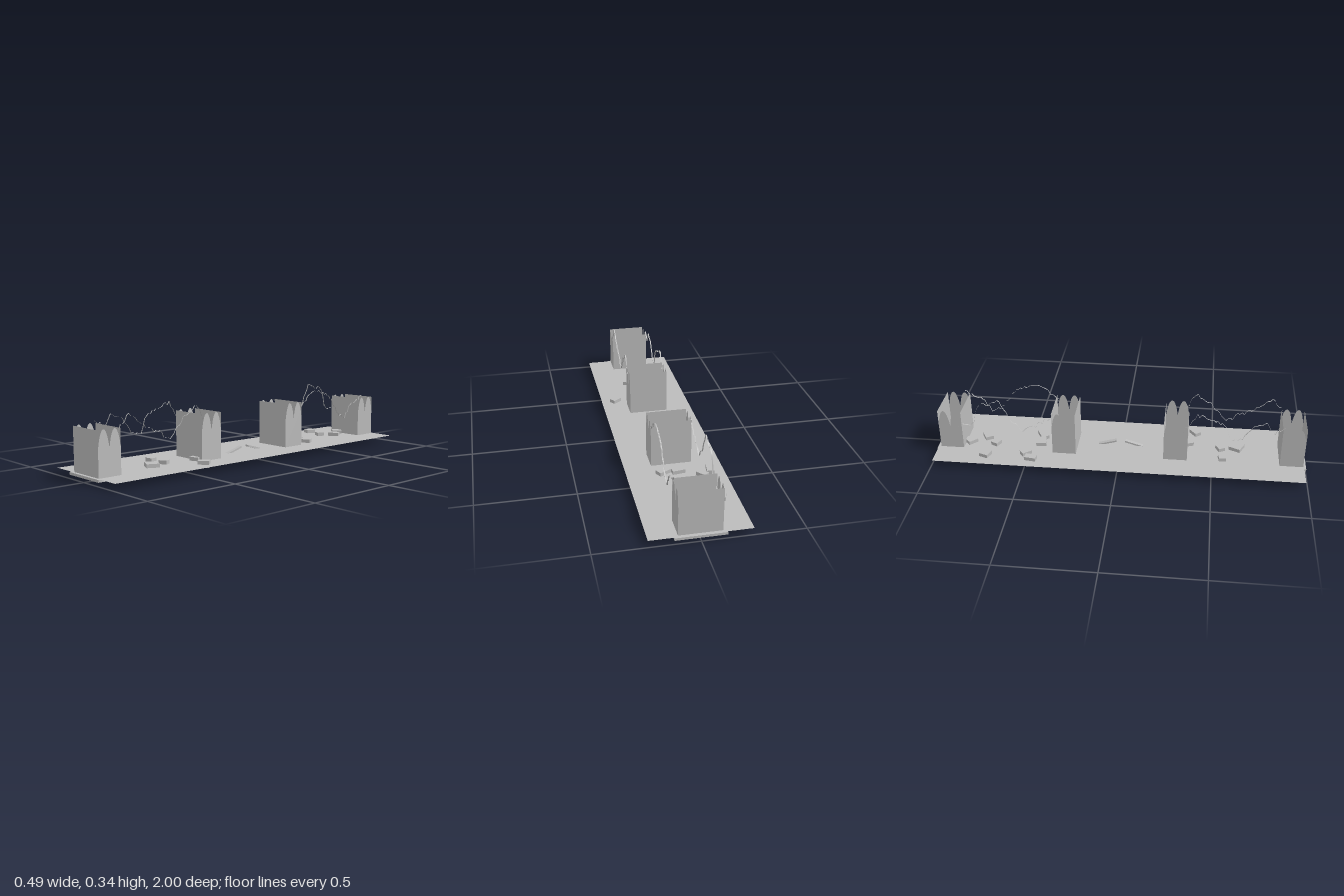
import * as THREE from 'three';

export function createModel() {
  const model = new THREE.Group();
  const stone = new THREE.MeshStandardMaterial({ color: 0xbbbbbb, side: THREE.DoubleSide });
  stone.name = 'stone grey';
  const FLOOR = 0.033, HALF = 0.105;

  const add = (geometry, name, x = 0, y = 0, z = 0, parent = model) => {
    const mesh = new THREE.Mesh(geometry, stone);
    mesh.name = name;
    mesh.position.set(x, y, z);
    parent.add(mesh);
    return mesh;
  };

  // Small seeded generator for broken edges
  let seed = 7;
  const rand = () => (seed = (seed * 16807) % 2147483647) / 2147483647;

  // Ground sheet and the deck slab beneath it
  add(new THREE.PlaneGeometry(0.494, 1.985), 'groundSheet', -0.002, FLOOR + 0.0005, -0.002).rotation.x = -Math.PI / 2;
  add(new THREE.BoxGeometry(0.248, 0.013, 2), 'deckSlab', 0, 0.0265, 0);

  // Side sheet with two rounded peaks
  function peakedSheet(width, peak) {
    const w = width / 2, dip = peak - 0.09, c = peak + 0.03;
    const s = new THREE.Shape();
    s.moveTo(-w, FLOOR);
    s.lineTo(-w, dip);
    s.bezierCurveTo(-w * 0.76, c, -w * 0.24, c, 0, dip);
    s.bezierCurveTo(w * 0.24, c, w * 0.76, c, w, dip);
    s.lineTo(w, FLOOR);
    return new THREE.ShapeGeometry(s, 14);
  }

  // Open-topped piers: two flat end sheets and two peaked sides
  for (const [z0, z1, height] of [[0.86, 0.985, 0.257], [0.24, 0.367, 0.275], [-0.362, -0.235, 0.275], [-0.982, -0.855, 0.257]]) {
    const pier = new THREE.Group();
    pier.name = 'pier';
    model.add(pier);
    const tall = height - FLOOR;
    for (const z of [z0, z1]) {
      add(new THREE.PlaneGeometry(HALF * 2, tall), 'pierEnd', 0, FLOOR + tall / 2, z, pier);
    }
    for (const side of [-1, 1]) {
      add(peakedSheet(z1 - z0, height + 0.003), 'pierSide', side * HALF, 0, (z0 + z1) / 2, pier)
        .rotation.y = -Math.PI / 2;
    }
  }

  // Narrow ragged strip following [z, y] points
  function raggedStrip(points) {
    const n = 44, geo = new THREE.PlaneGeometry(0.006, 1, 1, n), pos = geo.attributes.position;
    for (let i = 0; i <= n; i++) {
      const z = THREE.MathUtils.lerp(points[0][0], points[points.length - 1][0], i / n);
      let k = 0;
      while (k < points.length - 2 && z < points[k + 1][0]) k++;
      const [a, b] = [points[k], points[k + 1]];
      const y = a[1] + (b[1] - a[1]) * (z - a[0]) / (b[0] - a[0]) + (rand() - 0.5) * 0.024;
      for (const j of [0, 1]) {
        pos.setY(i * 2 + j, Math.min(y, 0.35));
        pos.setZ(i * 2 + j, z);
      }
    }
    geo.computeVertexNormals();
    return geo;
  }

  const frontLeft = [[0.87, 0.25], [0.81, 0.32], [0.74, 0.26], [0.63, 0.21], [0.57, 0.165], [0.52, 0.22], [0.476, 0.28], [0.4, 0.32], [0.34, 0.23]];
  const frontRight = [[0.87, 0.27], [0.81, 0.235], [0.77, 0.29], [0.71, 0.275], [0.645, 0.18], [0.59, 0.17], [0.57, 0.25], [0.51, 0.29], [0.41, 0.32], [0.34, 0.21]];
  const backLeft = [[-0.35, 0.25], [-0.42, 0.3], [-0.5, 0.34], [-0.6, 0.285], [-0.66, 0.2], [-0.725, 0.145], [-0.79, 0.23], [-0.88, 0.27]];
  const backRight = [[-0.35, 0.27], [-0.46, 0.19], [-0.52, 0.16], [-0.59, 0.235], [-0.64, 0.34], [-0.755, 0.3], [-0.79, 0.19], [-0.88, 0.17]];
  for (const [x, points] of [[0.102, frontLeft], [-0.104, frontRight], [0.102, backLeft], [-0.104, backRight]]) {
    add(raggedStrip(points), 'brokenWallEdge', x);
  }

  // Scattered rubble: x, z, width, depth, turn in degrees
  const rubble = [
    [-0.04, -0.83, 0.055, 0.055, 45], [-0.165, -0.72, 0.05, 0.05, -20],
    [-0.05, -0.685, 0.045, 0.04, -25], [0.012, -0.745, 0.06, 0.045, 30],
    [-0.13, -0.505, 0.055, 0.035, -50], [-0.178, -0.47, 0.038, 0.062, -8],
    [-0.015, -0.44, 0.065, 0.055, 8], [0.055, -0.44, 0.075, 0.042, 28],
    [0.065, 0.32, 0.04, 0.065, -20], [0.06, 0.375, 0.05, 0.035, 20],
    [0.165, 0.405, 0.057, 0.037, 38], [-0.075, 0.555, 0.043, 0.038, 10],
    [0.02, 0.545, 0.045, 0.037, 28], [0.04, 0.635, 0.068, 0.065, -25],
  ];
  for (const [x, z, w, d, turn] of rubble) {
    add(new THREE.BoxGeometry(w, 0.034, d), 'rubble', x, 0.036, z).rotation.y = THREE.MathUtils.degToRad(turn);
  }

  // Two raised planks leaning toward the middle
  for (const side of [-1, 1]) {
    add(new THREE.BoxGeometry(0.021, 0.009, 0.185), 'tiltedPlank', 0.017, 0.0315, side * 0.113)
      .rotation.x = side * 0.285;
  }

  return model;
}
